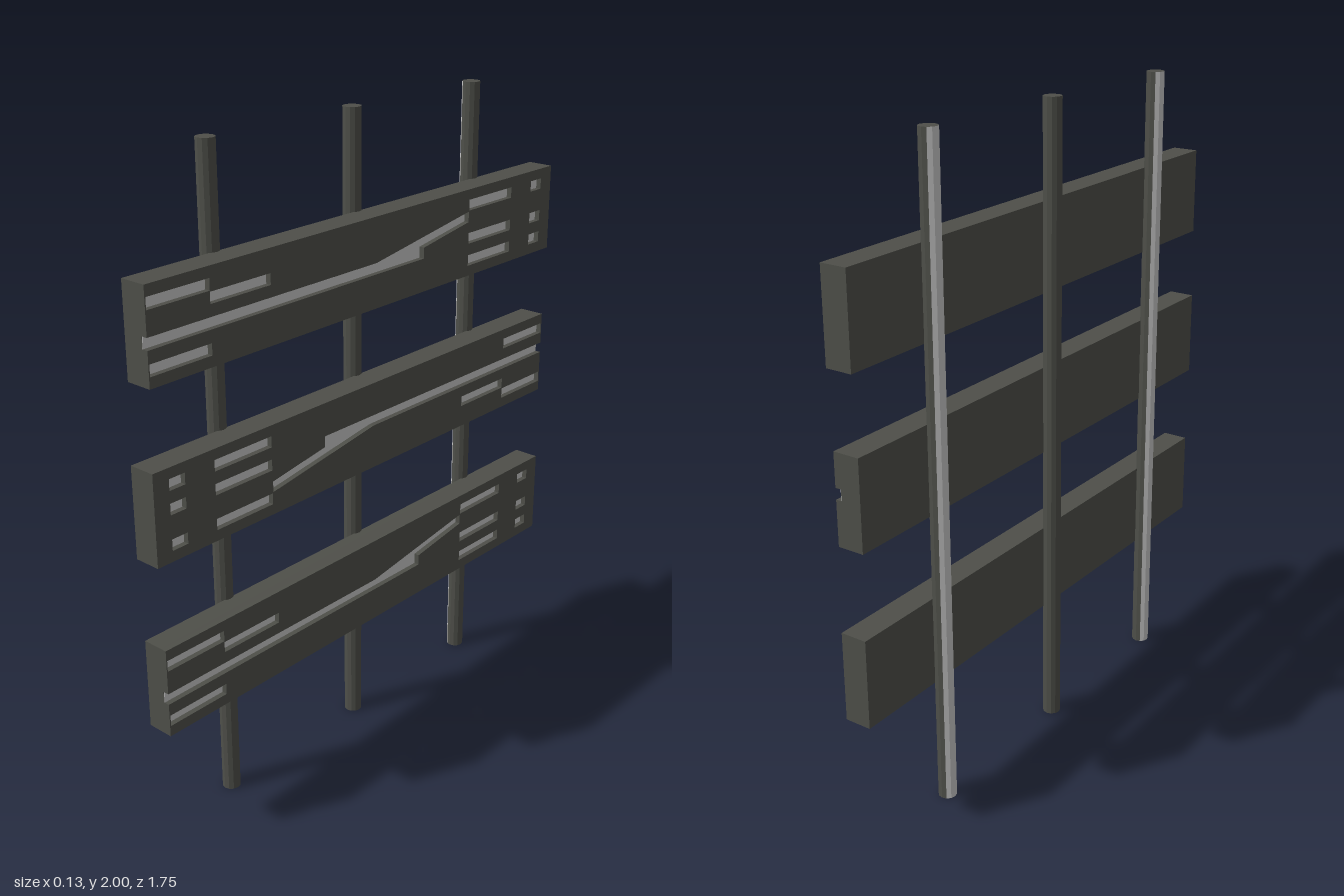
import * as THREE from 'three';

const dark = new THREE.MeshStandardMaterial({ color: 0x4e4f49, flatShading: true });
dark.name = 'charcoal';
const light = new THREE.MeshStandardMaterial({ color: 0xc8c8c8, flatShading: true });
light.name = 'paleGrey';

const BACK = -0.02, FLOOR = 0.045, FACE = 0.064; // plank layers along x
const HALF = 0.8725, H = 0.1375;                 // plank half length and half height

function mesh(geometry, material, name) {
  const m = new THREE.Mesh(geometry, material);
  m.name = name;
  return m;
}

function slot(u0, u1, v0, v1) {
  return new THREE.Path([[u0, v0], [u0, v1], [u1, v1], [u1, v0]].map(p => new THREE.Vector2(...p)));
}

// Carved front layer: the long groove runs in from one end, the rest are closed slots
function carvedFace() {
  const outline = [
    [-HALF, -H], [HALF, -H], [HALF, H], [-HALF, H],
    [-HALF, 0], [0, 0], [0.435, 0.068], [0.435, 0.035],
    [0.218, 0], [0.218, -0.034], [-HALF, -0.034],
  ];
  const shape = new THREE.Shape(outline.map(p => new THREE.Vector2(...p)));
  shape.holes.push(
    slot(-0.869, -0.655, 0.071, 0.105),
    slot(-0.655, -0.434, 0.035, 0.068),
    slot(-0.869, -0.655, -0.105, -0.071),
  );
  for (const v of [0.071, -0.034, -0.105]) {
    shape.holes.push(slot(0.437, 0.655, v, v + 0.034), slot(0.762, 0.818, v, v + 0.034));
  }
  return new THREE.ExtrudeGeometry(shape, { depth: FACE - FLOOR, bevelEnabled: false });
}

function plank(y, z, turned) {
  const g = new THREE.Group();
  g.name = 'plank';
  const body = mesh(new THREE.BoxGeometry(2 * HALF, 2 * H, FLOOR - BACK), dark, 'plankBody');
  body.position.z = (FLOOR + BACK) / 2;
  const floor = mesh(new THREE.BoxGeometry(2 * HALF - 0.002, 2 * H - 0.004, 0.002), light, 'grooveFloor');
  floor.position.z = FLOOR + 0.001;
  const face = mesh(carvedFace(), dark, 'carvedFace');
  face.position.z = FLOOR;
  g.add(body, floor, face);
  g.rotation.set(0, Math.PI / 2, turned ? Math.PI : 0);
  g.position.set(0, y, z);
  return g;
}

// Upright rod, optionally with a pale strip down its back
function rod(z, striped) {
  const geo = new THREE.CylinderGeometry(0.028, 0.028, 2, 12);
  const total = geo.index.count;
  geo.clearGroups();
  geo.addGroup(0, 42, 0);
  geo.addGroup(42, 24, striped ? 1 : 0);
  geo.addGroup(66, total - 66, 0);
  const m = mesh(geo, [dark, light], 'uprightRod');
  m.position.set(-0.04, 1, z);
  return m;
}

export function createModel() {
  const model = new THREE.Group();
  model.name = 'slattedRack';
  model.add(rod(0.552, true), rod(-0.013, false), rod(-0.567, true));
  model.add(plank(1.5625, -0.002, false), plank(1.057, 0.007, true), plank(0.525, -0.002, false));
  return model;
}
